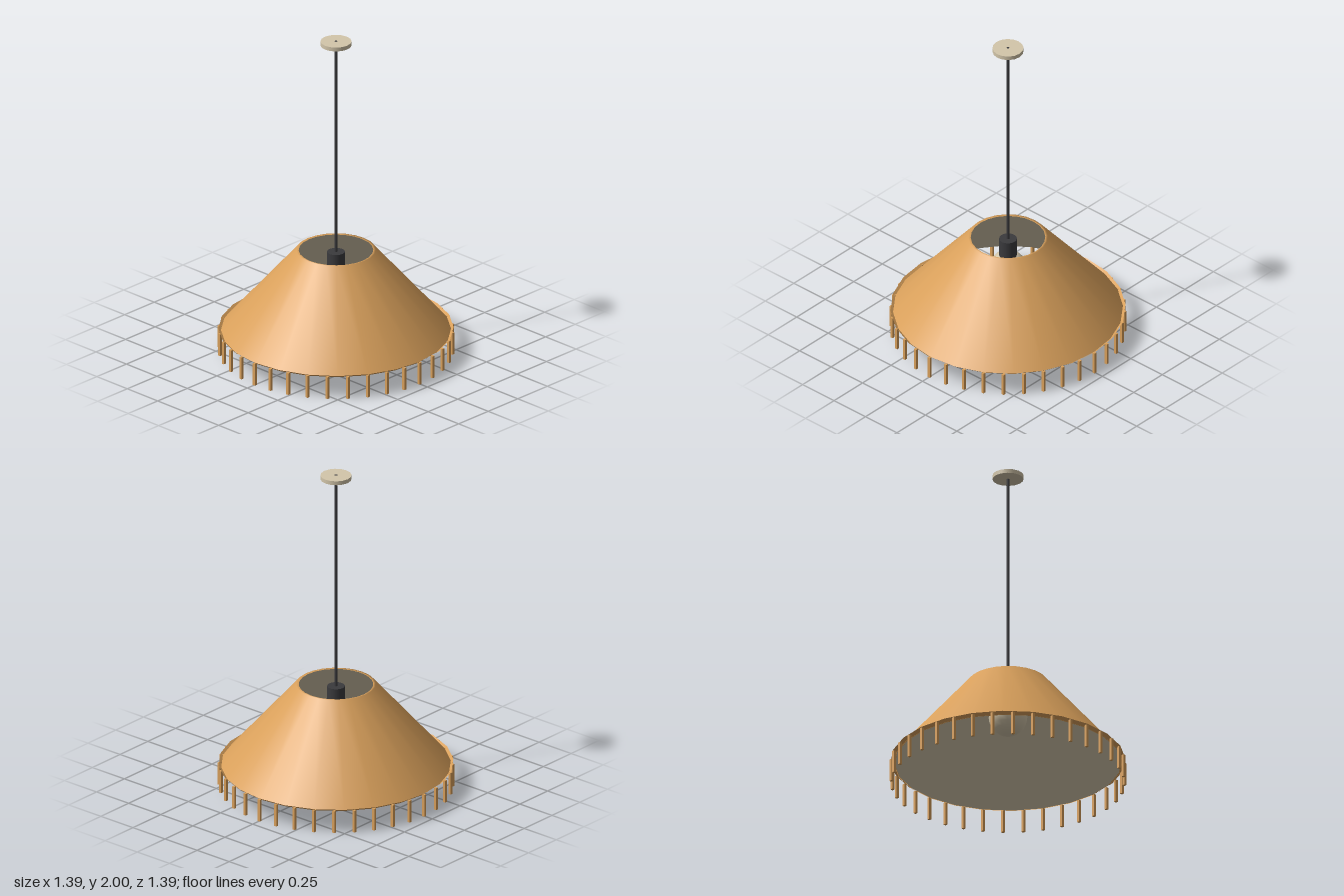
import * as THREE from 'three';

export function createModel() {
  const model = new THREE.Group();
  model.name = 'pendantLamp';

  const material = (name, color, side = THREE.FrontSide) => {
    const m = new THREE.MeshStandardMaterial({ color, side });
    m.name = name;
    return m;
  };
  const rattan = material('rattan', 0xd9a05b, THREE.DoubleSide);
  const cream = material('cream', 0xd3c6aa);
  const charcoal = material('charcoal', 0x3a3a3d);

  const add = (name, geometry, mat, y = 0, parent = model) => {
    const mesh = new THREE.Mesh(geometry, mat);
    mesh.name = name;
    mesh.position.y = y;
    parent.add(mesh);
    return mesh;
  };
  const lathe = (points, sides) =>
    new THREE.LatheGeometry(points.map(([r, y]) => new THREE.Vector2(r, y)), sides);

  // Ceiling plate, cord and socket
  add('ceilingPlate', new THREE.CylinderGeometry(0.092, 0.092, 0.025, 16), cream, 1.9865);
  add('cord', new THREE.CylinderGeometry(0.009, 0.009, 1.38, 8), charcoal, 1.31);
  add('socket', new THREE.CylinderGeometry(0.053, 0.053, 0.15, 16), charcoal, 0.565);

  // Bulb
  add('bulb', new THREE.SphereGeometry(0.114, 16, 12), cream, 0.425);

  // Shade: outer skin with rolled edges, flared lip and pale lining
  const shade = new THREE.Group();
  shade.name = 'shade';
  model.add(shade);
  add('shadeSkin', lathe([[0.668, 0.132], [0.678, 0.137], [0.235, 0.652], [0.22, 0.65]], 24), rattan, 0, shade);
  add('shadeLip', lathe([[0.693, 0.147], [0.674, 0.132]], 24), rattan, 0, shade);
  add('shadeLining', lathe([[0.22, 0.65], [0.668, 0.132]], 24), cream, 0, shade);

  // Fringe of hanging rods around the rim
  const fringe = new THREE.Group();
  fringe.name = 'fringe';
  model.add(fringe);
  const rod = new THREE.BoxGeometry(0.017, 0.14, 0.017);
  for (let i = 0; i < 36; i++) {
    const a = (i / 36) * Math.PI * 2;
    const mesh = add('fringeRod', rod, rattan, 0.07, fringe);
    mesh.position.x = Math.sin(a) * 0.687;
    mesh.position.z = Math.cos(a) * 0.687;
  }

  return model;
}
